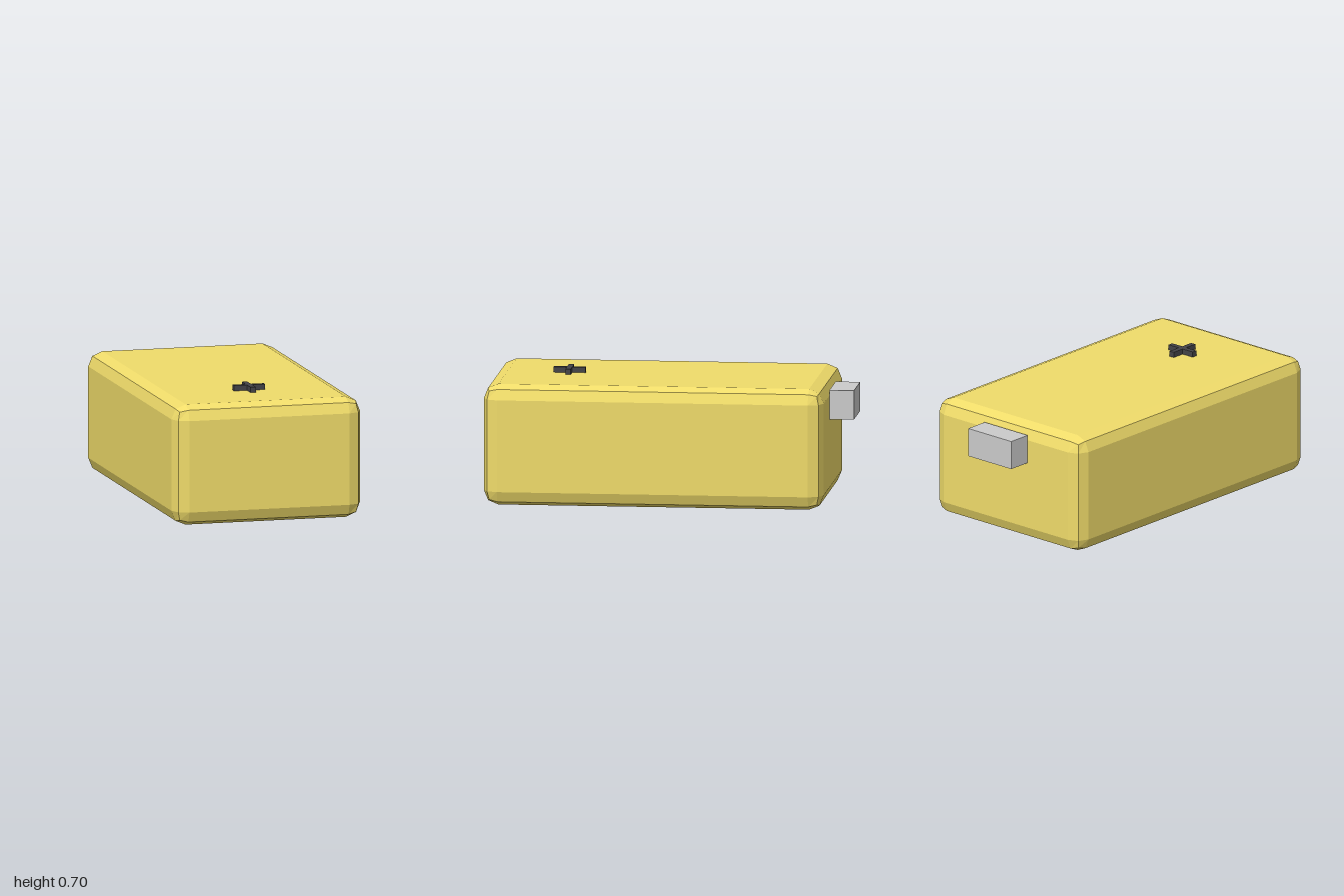
import * as THREE from 'three';
import { RoundedBoxGeometry } from 'three/addons/geometries/RoundedBoxGeometry.js';

const material = (color) => new THREE.MeshStandardMaterial({ color, flatShading: true });

export function createModel() {
  const model = new THREE.Group();
  const add = (parent, name, geometry, mat, x, y, z) => {
    const mesh = new THREE.Mesh(geometry, mat);
    mesh.name = name;
    mesh.position.set(x, y, z);
    parent.add(mesh);
    return mesh;
  };

  // Block with low-poly rounded edges: two facets per edge
  const [width, height, depth] = [1.067, 0.667, 1.867];
  add(model, 'body', new RoundedBoxGeometry(width, height, depth, 1, 0.08),
    material(0xf0dc6a), 0, height / 2, 1 - depth / 2);

  // Connector tab high on the back
  add(model, 'terminal', new THREE.BoxGeometry(0.315, 0.16, 0.135),
    material(0xcccccc), 0, 0.535, -0.9325);

  // Raised plus mark on top: two crossed bars
  const plus = new THREE.Group();
  plus.name = 'plusMark';
  plus.position.set(0, 0.682, 0.578);
  const dark = material(0x444448);
  const bar = new THREE.BoxGeometry(0.176, 0.03, 0.03);
  add(plus, 'plusBarAcross', bar, dark, 0, 0, 0);
  add(plus, 'plusBarAlong', bar, dark, 0, 0, 0).rotation.y = Math.PI / 2;
  model.add(plus);

  return model;
}
